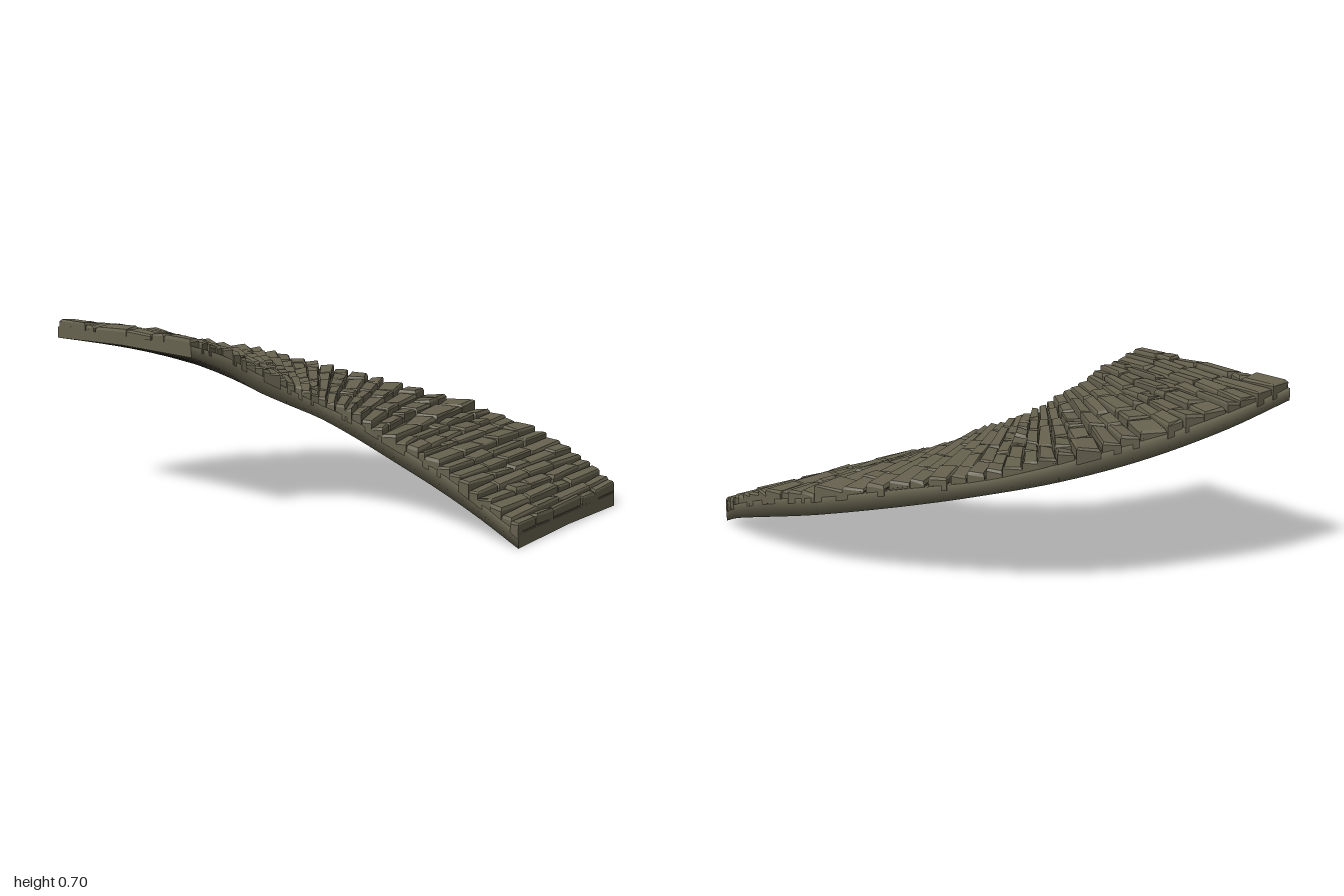
import * as THREE from 'three';

// Stations from the low end to the high end: inner x, inner z, outer x, outer z, underside y, tread y
const STATIONS = [
  [0.38, 0.74, 0.985, 0.31, 0.0, 0.08],
  [0.31, 0.55, 0.94, 0.12, 0.07, 0.155],
  [0.225, 0.36, 0.83, -0.1, 0.14, 0.235],
  [0.12, 0.19, 0.66, -0.33, 0.213, 0.305],
  [-0.01, 0.09, 0.36, -0.55, 0.3, 0.39],
  [-0.12, 0.035, 0.12, -0.68, 0.365, 0.445],
  [-0.24, 0.0, -0.13, -0.745, 0.42, 0.51],
  [-0.36, 0.005, -0.42, -0.735, 0.48, 0.575],
  [-0.48, 0.025, -0.72, -0.69, 0.56, 0.645],
  [-0.62, 0.075, -0.995, -0.57, 0.628, 0.7],
];
const SIDE = { bottom: 0, top: 1 };
const curve = (a, b, c) => new THREE.CatmullRomCurve3(
  STATIONS.map((p) => new THREE.Vector3(p[a], p[b], p[c])), false, 'centripetal');
const innerTop = curve(0, 5, 1), outerTop = curve(2, 5, 3);
const innerLow = curve(0, 4, 1), outerLow = curve(2, 4, 3);

// Point on the ramp: u along, s across (0 inner, 1 outer), dy offset
function at(u, s, level, dy = 0) {
  const t = THREE.MathUtils.clamp(u, 0, 1);
  const [a, b] = level === SIDE.top ? [innerTop, outerTop] : [innerLow, outerLow];
  const p = a.getPoint(t).lerp(b.getPoint(t), s);
  p.y += dy;
  return p;
}

let seed = 11;
function rand(lo = 0, hi = 1) {
  seed = (seed * 16807) % 2147483647;
  return lo + (hi - lo) * (seed / 2147483647);
}

function toGeometry(points, index) {
  const g = new THREE.BufferGeometry().setFromPoints(points);
  if (index) g.setIndex(index);
  g.computeVertexNormals();
  return g;
}

// Smooth supporting slab between u0 and u1
function slabGeometry(u0, u1) {
  const N = 16, pts = [], idx = [];
  const ring = (u) => [
    at(u, 0, SIDE.bottom), at(u, 0.5, SIDE.bottom, 0.008), at(u, 1, SIDE.bottom),
    at(u, 1, SIDE.top, -0.028), at(u, 0.5, SIDE.top, -0.028), at(u, 0, SIDE.top, -0.028),
  ];
  for (let i = 0; i <= N; i++) pts.push(...ring(u0 + (u1 - u0) * i / N));
  for (let i = 0; i < N; i++) for (let j = 0; j < 6; j++) {
    const a = i * 6 + j, b = i * 6 + (j + 1) % 6;
    idx.push(a, a + 6, b, b, a + 6, b + 6);
  }
  // End caps on their own vertices
  for (const [u, flip] of [[u0, false], [u1, true]]) {
    const o = pts.length;
    pts.push(...ring(u));
    for (const [a, b, c] of [[0, 1, 5], [1, 4, 5], [1, 2, 4], [2, 3, 4]]) {
      idx.push(o + a, o + (flip ? c : b), o + (flip ? b : c));
    }
  }
  return toGeometry(pts, idx);
}

// Dark bed seen in the joints between stones
function bedGeometry() {
  const N = 48, pts = [], idx = [];
  for (let i = 0; i <= N; i++) {
    pts.push(at(i / N, 0.01, SIDE.top, -0.022), at(i / N, 0.99, SIDE.top, -0.022));
    if (i < N) idx.push(2 * i, 2 * i + 1, 2 * i + 2, 2 * i + 1, 2 * i + 3, 2 * i + 2);
  }
  return toGeometry(pts, idx);
}

// One rough stone: foot ring, shoulder ring and smaller top ring
function addStone(out, u0, u1, s0, s1) {
  const um = (u0 + u1) / 2, sm = (s0 + s1) / 2;
  const topY = at(um, sm, SIDE.top).y + rand(-0.002, 0.008);
  const tiltU = rand(-0.004, 0.004), tiltS = rand(-0.004, 0.004);
  const du = (u1 - u0) * 0.08, ds = 0.012;
  const corners = [[u0, s0], [u0, s1], [u1, s1], [u1, s0]].map(([u, s]) => [
    u + rand(-du, du), THREE.MathUtils.clamp(s + rand(-ds, ds), -0.005, 1.005)]);
  const foot = corners.map(([u, s]) => at(u, s, SIDE.top, -0.045));
  const heights = corners.map(([u, s]) =>
    topY + (u > um ? tiltU : -tiltU) + (s > sm ? tiltS : -tiltS));
  const shoulder = corners.map(([u, s], k) => {
    const p = at(u, s, SIDE.top);
    p.y = heights[k] - rand(0.005, 0.013);
    return p;
  });
  const cap = corners.map(([u, s], k) => {
    const p = at(THREE.MathUtils.lerp(u, um, rand(0.08, 0.24)),
      s + Math.sign(sm - s) * rand(0.005, 0.016), SIDE.top);
    p.y = heights[k];
    return p;
  });
  const quad = (a, b, c, d) => out.push(a, b, c, a, c, d);
  for (let k = 0; k < 4; k++) {
    const n = (k + 1) % 4;
    quad(foot[k], foot[n], shoulder[n], shoulder[k]);
    quad(shoulder[k], shoulder[n], cap[n], cap[k]);
  }
  quad(...cap);
}

// One course of stones across the ramp
function courseGeometry(u0, u1) {
  const out = [], count = 4 + Math.floor(rand(0, 3));
  const cuts = [0];
  for (let i = 1; i < count; i++) cuts.push((i + rand(-0.32, 0.32)) / count);
  cuts.push(1);
  for (let i = 0; i < count; i++) {
    addStone(out, u0 + 0.0006, u1 - 0.0006, cuts[i] + 0.002, cuts[i + 1] - 0.002);
  }
  return toGeometry(out);
}

export function createModel() {
  const stone = new THREE.MeshStandardMaterial({ color: 0x67624f });
  stone.name = 'stone';
  const joint = new THREE.MeshStandardMaterial({ color: 0x4a4637 });
  joint.name = 'joint';

  const model = new THREE.Group();
  model.name = 'curvedStoneStair';
  const add = (name, geometry, material) => {
    const mesh = new THREE.Mesh(geometry, material);
    mesh.name = name;
    model.add(mesh);
  };

  // Three slab sections meeting at seams
  for (let i = 0; i < 3; i++) add(`slab${i + 1}`, slabGeometry(i / 3, (i + 1) / 3), stone);
  add('jointBed', bedGeometry(), joint);

  // Stepped courses of stones
  const COURSES = 36;
  let u = 0;
  for (let i = 1; i <= COURSES; i++) {
    const next = i === COURSES ? 1 : (i + rand(-0.2, 0.2)) / COURSES;
    add(`course${i}`, courseGeometry(u, next), stone);
    u = next;
  }
  return model;
}
